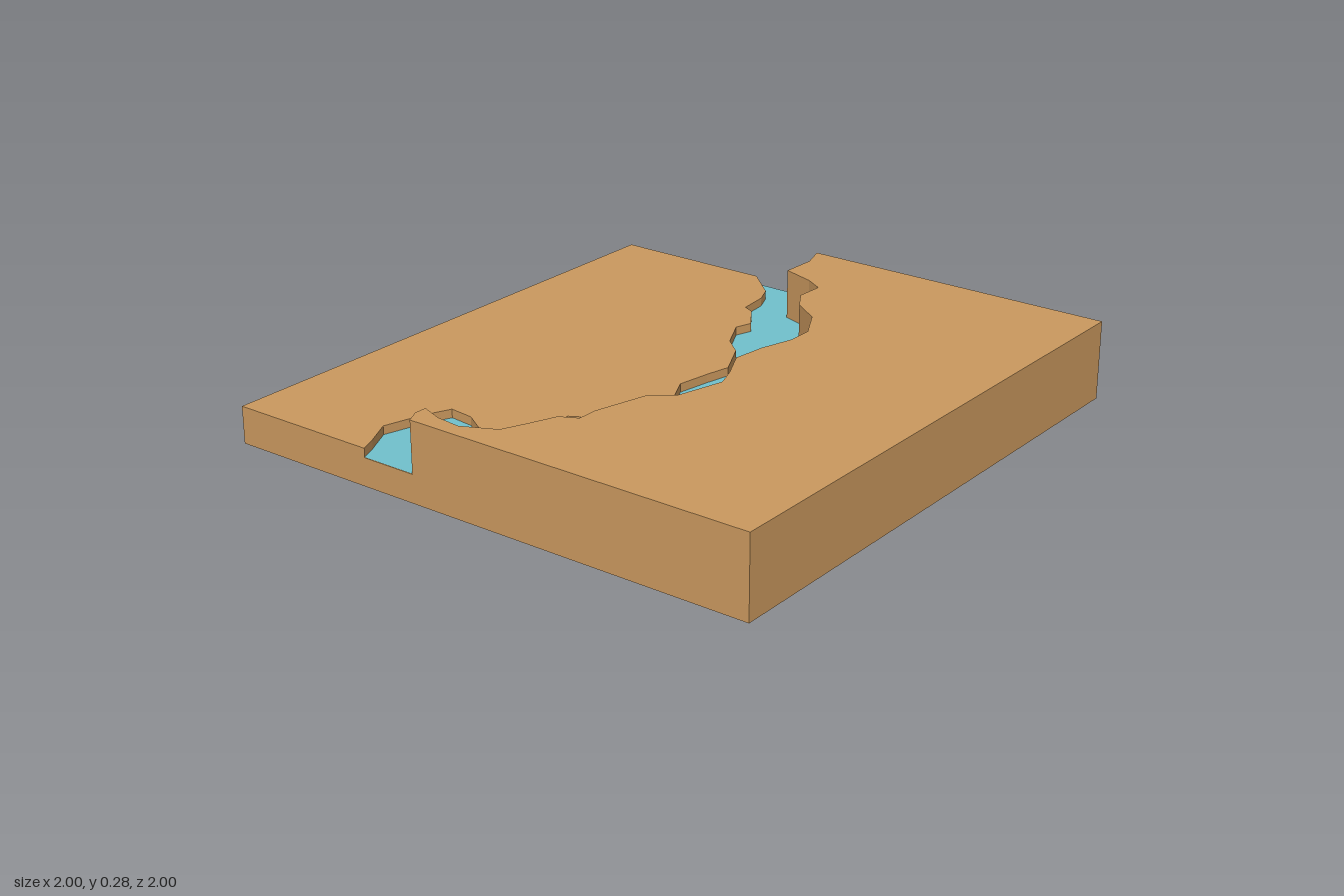
import * as THREE from 'three';

// River edges as [x, z], running from the back (z = -1) to the front (z = 1)
const RIGHT_SHORE = [
  [-0.41, -1], [-0.29, -0.89], [-0.26, -0.82], [-0.25, -0.71], [-0.21, -0.69], [-0.14, -0.59],
  [-0.16, -0.53], [-0.1, -0.41], [-0.03, -0.35], [0.04, -0.21], [0.02, -0.12], [0, 0],
  [0.05, 0.1], [0.1, 0.19], [0.08, 0.28], [0, 0.36], [-0.12, 0.43], [-0.115, 0.52],
  [-0.115, 0.62], [-0.12, 0.695], [-0.24, 0.695], [-0.36, 0.62], [-0.45, 0.61], [-0.49, 0.7],
  [-0.53, 0.84], [-0.48, 0.94], [-0.455, 1],
];
const LEFT_SHORE = [
  [-0.145, -1], [-0.115, -0.91], [-0.12, -0.78], [0, -0.74], [0.065, -0.7], [0.06, -0.6],
  [0.11, -0.52], [0.21, -0.45], [0.275, -0.33], [0.275, -0.24], [0.24, -0.12], [0.225, 0],
  [0.28, 0.11], [0.31, 0.19], [0.265, 0.36], [0.19, 0.42], [0.14, 0.61], [0.14, 0.68],
  [0.08, 0.71], [0.04, 0.81], [0.005, 0.89], [-0.11, 0.945], [-0.2, 0.935], [-0.28, 0.905],
  [-0.28, 0.95], [-0.255, 1],
];

const BED_TOP = 0.098, WATER_LEVEL = 0.1, LOW_TOP = 0.13, HIGH_TOP = 0.277;

// Plan outline in [x, z]; z is negated so that laying the shape flat restores it
const planShape = (points) => new THREE.Shape(points.map(([x, z]) => new THREE.Vector2(x, -z)));

export function createModel() {
  const group = new THREE.Group();
  const earth = new THREE.MeshStandardMaterial({ color: 0xcc9a5f });
  const water = new THREE.MeshStandardMaterial({ color: 0x72c2ce });

  const add = (name, geometry, material) => {
    const mesh = new THREE.Mesh(geometry, material);
    mesh.name = name;
    group.add(mesh);
    return mesh;
  };

  // A bank: shore line closed along the outer side of the tile
  const addBank = (name, shore, outerX, top) => {
    const shape = planShape([...shore, [outerX, 1], [outerX, -1]]);
    const geometry = new THREE.ExtrudeGeometry(shape, { depth: top - BED_TOP, bevelEnabled: false });
    add(name, geometry.rotateX(-Math.PI / 2).translate(0, BED_TOP, 0), earth);
  };

  // Ground slab under everything
  add('groundSlab', new THREE.BoxGeometry(2, BED_TOP, 2).translate(0, BED_TOP / 2, 0), earth);

  // Low bank and high cliff bank
  addBank('lowBank', RIGHT_SHORE, -1, LOW_TOP);
  addBank('highBank', LEFT_SHORE, 1, HIGH_TOP);

  // Water surface between the two shores
  const surface = new THREE.ShapeGeometry(planShape([...RIGHT_SHORE, ...[...LEFT_SHORE].reverse()]));
  add('riverSurface', surface.rotateX(-Math.PI / 2).translate(0, WATER_LEVEL, 0), water);

  return group;
}
